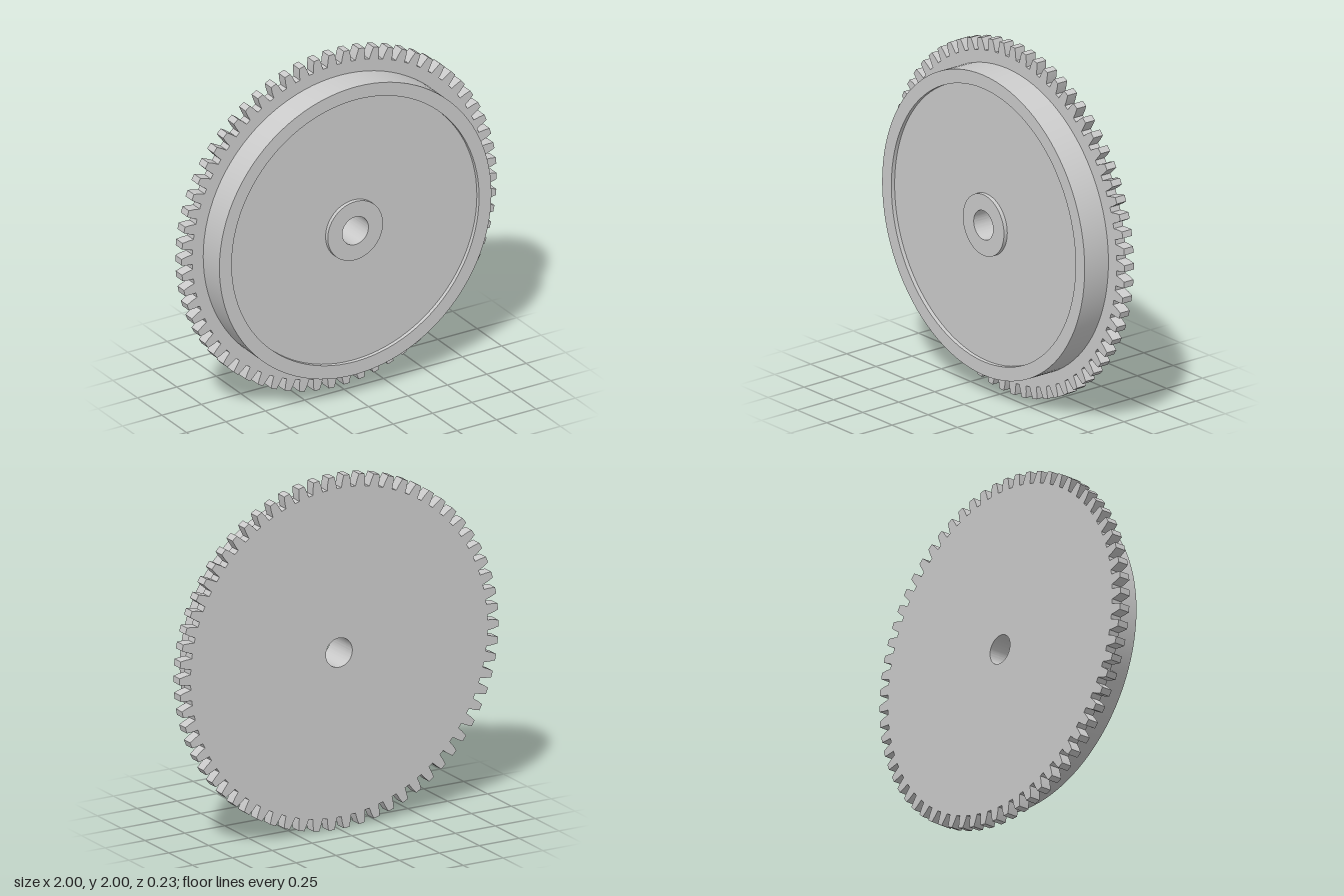
import * as THREE from 'three';
import { toCreasedNormals } from 'three/addons/utils/BufferGeometryUtils.js';

const TEETH = 66;
const BORE = 0.083;
const BACK = -0.115, STEP = -0.05, FRONT = 0.115, RECESS = 0.092;

export function createModel() {
  const model = new THREE.Group();
  const material = new THREE.MeshStandardMaterial({ color: 0xcccccc });

  const add = (name, geometry) => {
    const mesh = new THREE.Mesh(toCreasedNormals(geometry, 0.4), material);
    mesh.name = name;
    mesh.position.y = 1;
    model.add(mesh);
  };

  // Toothed plate: one tooth profile [radius, half width] repeated around the rim
  const flank = [[0.932, 0.030], [0.967, 0.0255], [1.0, 0.018]];
  const tooth = [
    ...flank.map(([r, w]) => [r, -w]),
    ...flank.slice().reverse(),
  ];
  const outline = [];
  for (let i = 0; i < TEETH; i++) {
    const centre = (i / TEETH) * Math.PI * 2;
    for (const [r, w] of tooth) {
      const a = centre + w / r;
      outline.push(new THREE.Vector2(r * Math.cos(a), r * Math.sin(a)));
    }
  }
  const plate = new THREE.Shape(outline);
  plate.holes.push(new THREE.Path().absarc(0, 0, BORE, 0, Math.PI * 2, true));
  const plateGeometry = new THREE.ExtrudeGeometry(plate, {
    depth: STEP - BACK, bevelEnabled: false, curveSegments: 48,
  });
  plateGeometry.translate(0, 0, BACK);
  add('toothedPlate', plateGeometry);

  // Raised disc: outer wall, rim, shallow recess, hub and bore in one turned profile
  const profile = [
    [0.863, STEP], [0.863, FRONT],
    [0.785, FRONT], [0.785, RECESS],
    [0.175, RECESS], [0.175, FRONT],
    [BORE, FRONT], [BORE, STEP],
  ].map(([r, z]) => new THREE.Vector2(r, z));
  const disc = new THREE.LatheGeometry(profile, 96);
  disc.rotateX(Math.PI / 2);
  add('raisedDiscWithHub', disc);

  return model;
}
